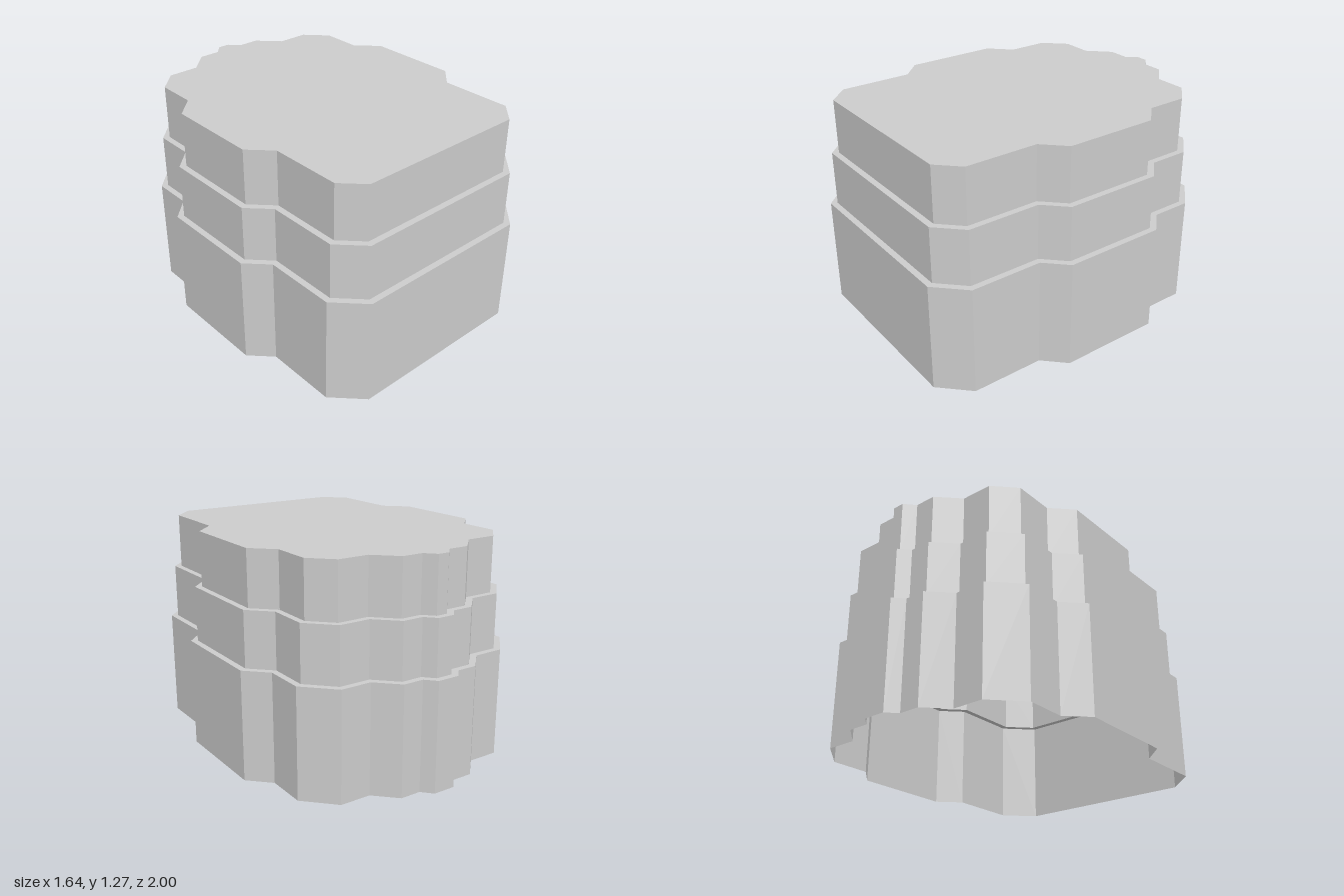
import * as THREE from 'three';

// Half of the base outline, from the front edge to the back, as (x, -z)
const HALF = [
  [0.54, -1], [0.70, -0.84], [0.70, -0.42], [0.82, -0.30], [0.82, 0.30], [0.70, 0.42],
  [0.70, 0.655], [0.54, 0.82], [0.36, 0.82], [0.24, 0.94], [0.12, 0.94], [0.065, 1],
];
const TIERS = [
  { name: 'lowerTier', inset: 0, y0: 0, y1: 0.635 },
  { name: 'middleTier', inset: 0.036, y0: 0.635, y1: 0.955 },
  { name: 'upperTier', inset: 0.072, y0: 0.955, y1: 1.272 },
];

// Full outline, moved inward by a constant distance with mitred corners
function outline(inset) {
  const pts = [...HALF, ...HALF.map(([x, y]) => [-x, y]).reverse()].map(([x, y]) => new THREE.Vector2(x, y));
  const n = pts.length;
  const inward = (a, b) => new THREE.Vector2(a.y - b.y, b.x - a.x).normalize();
  return pts.map((p, i) => {
    const n1 = inward(pts[(i + n - 1) % n], p);
    const n2 = inward(p, pts[(i + 1) % n]);
    return p.clone().addScaledVector(n1.clone().add(n2), inset / (1 + n1.dot(n2)));
  });
}

// Upright walls following an outline
function wallGeometry(pts, y0, y1) {
  const pos = [];
  pts.forEach((a, i) => {
    const b = pts[(i + 1) % pts.length];
    pos.push(a.x, y0, -a.y, b.x, y0, -b.y, b.x, y1, -b.y);
    pos.push(a.x, y0, -a.y, b.x, y1, -b.y, a.x, y1, -a.y);
  });
  const g = new THREE.BufferGeometry();
  g.setAttribute('position', new THREE.Float32BufferAttribute(pos, 3));
  g.computeVertexNormals();
  return g;
}

// Flat cover at height y, with an optional opening
function coverGeometry(pts, y, hole) {
  const shape = new THREE.Shape(pts);
  if (hole) shape.holes.push(new THREE.Path(hole));
  return new THREE.ShapeGeometry(shape).rotateX(-Math.PI / 2).translate(0, y, 0);
}

export function createModel() {
  const model = new THREE.Group();
  model.name = 'steppedBuilding';
  const material = new THREE.MeshStandardMaterial({ color: 0xcccccc, flatShading: true, side: THREE.DoubleSide });
  const add = (group, name, geometry) => {
    const mesh = new THREE.Mesh(geometry, material);
    mesh.name = name;
    group.add(mesh);
  };

  // Each tier is an open-bottomed shell: walls plus a ledge, or the roof on the last one
  TIERS.forEach((tier, i) => {
    const group = new THREE.Group();
    group.name = tier.name;
    const pts = outline(tier.inset);
    const next = TIERS[i + 1];
    add(group, 'walls', wallGeometry(pts, tier.y0, tier.y1));
    add(group, next ? 'ledge' : 'roof', coverGeometry(pts, tier.y1, next && outline(next.inset)));
    model.add(group);
  });
  return model;
}
